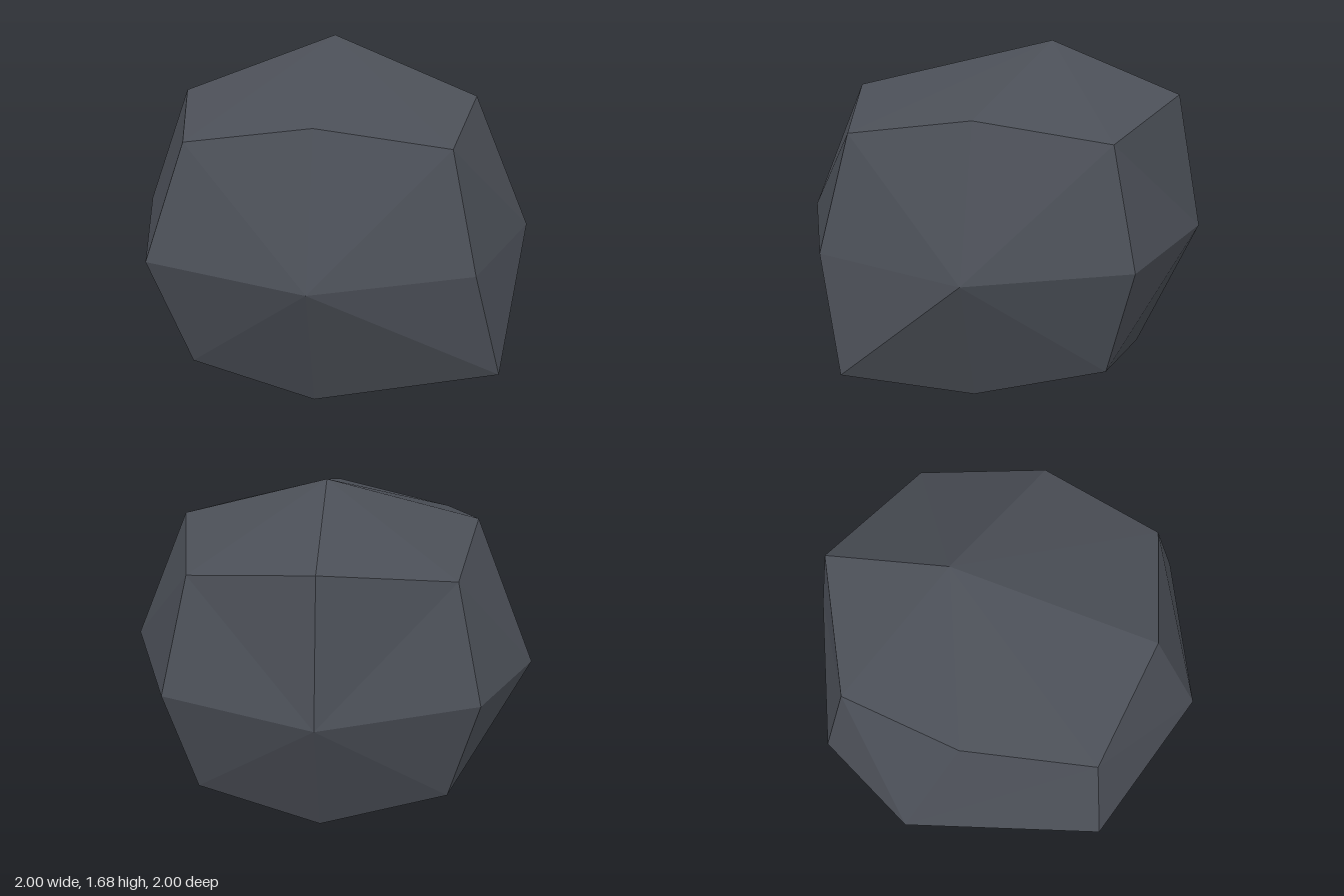
import * as THREE from 'three';

// Faceted boulder: a cube split 2 x 2 per side, rounded out, with a few corners pushed about.
const CENTRE_Y = 0.78;
const REACH = [0, 1, 0.72, 0.6]; // by type: side centre, edge middle, corner

// Moved points, keyed by their place on the cube
const MOVED = {
  '0,1,0': [0, 1.68, -0.25],
  '0,-1,0': [0, 0, 0],
  '0,1,-1': [0, 1.435, -0.87],
  '-1,0,0': [-1, 0.78, -0.22],
  '-1,0,1': [-0.775, 0.78, 0.7],
  '1,-1,1': [0.855, 0.24, 0.6],
};

function place(cell) {
  const moved = MOVED[cell.join(',')];
  if (moved) return moved;
  const r = REACH[cell.filter((c) => c !== 0).length];
  return [cell[0] * r, CENTRE_Y + cell[1] * r * 0.906, cell[2] * r];
}

function boulderGeometry() {
  const positions = [];
  for (let axis = 0; axis < 3; axis++) {
    for (const side of [-1, 1]) {
      const at = (u, v) => {
        const cell = [0, 0, 0];
        cell[axis] = side;
        cell[(axis + 1) % 3] = u;
        cell[(axis + 2) % 3] = v;
        return place(cell);
      };
      // Four quads around the side's centre, each split from centre to corner
      for (const u of [-1, 1]) {
        for (const v of [-1, 1]) {
          const quad = [at(0, 0), at(u, 0), at(u, v), at(0, v)];
          if (u * v * side < 0) quad.reverse();
          const [a, b, c, d] = u * v * side < 0 ? [quad[3], quad[0], quad[1], quad[2]] : quad;
          positions.push(...a, ...b, ...c, ...a, ...c, ...d);
        }
      }
    }
  }
  const geometry = new THREE.BufferGeometry();
  geometry.setAttribute('position', new THREE.Float32BufferAttribute(positions, 3));
  geometry.computeVertexNormals();
  return geometry;
}

export function createModel() {
  const group = new THREE.Group();
  group.name = 'rock';
  const stone = new THREE.MeshStandardMaterial({ color: 0x4b4f57 });
  stone.name = 'dark slate stone';
  const boulder = new THREE.Mesh(boulderGeometry(), stone);
  boulder.name = 'boulder';
  group.add(boulder);
  return group;
}
